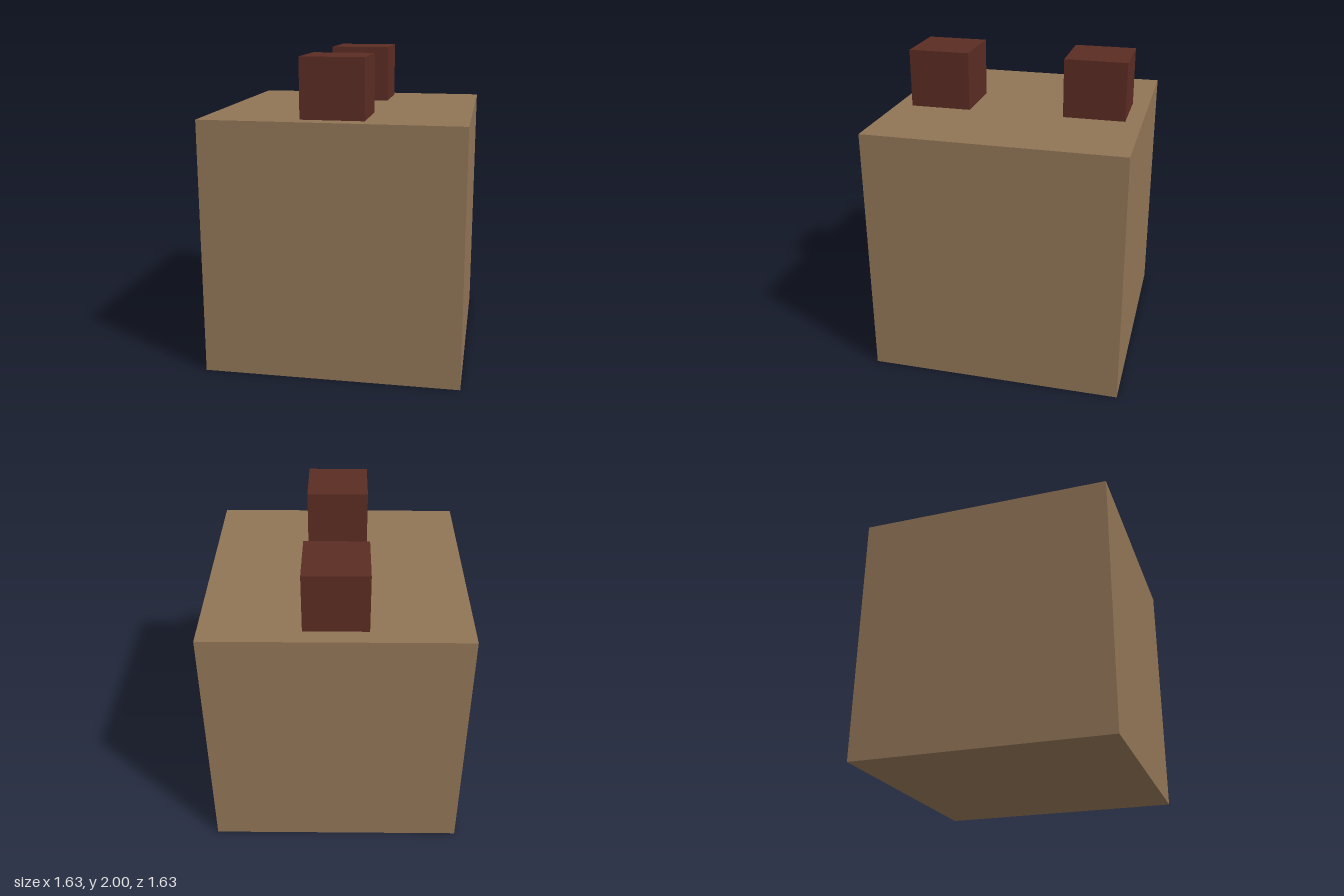
import * as THREE from 'three';

export function createModel() {
  const group = new THREE.Group();
  const tan = new THREE.MeshStandardMaterial({ name: 'tan', color: 0x917556 });
  const darkRed = new THREE.MeshStandardMaterial({ name: 'darkRed', color: 0x5a2c23 });

  const addBox = (name, material, width, bottom, top, z) => {
    const mesh = new THREE.Mesh(new THREE.BoxGeometry(width, top - bottom, width), material);
    mesh.name = name;
    mesh.position.set(0, (bottom + top) / 2, z);
    group.add(mesh);
  };

  // Large cube body
  const size = 1.626;
  addBox('body', tan, size, 0, size, 0);

  // Two small blocks on top, slightly sunk into the body
  addBox('frontBlock', darkRed, 0.396, 1.604, 2, 0.508);
  addBox('backBlock', darkRed, 0.396, 1.604, 2, -0.508);

  return group;
}
